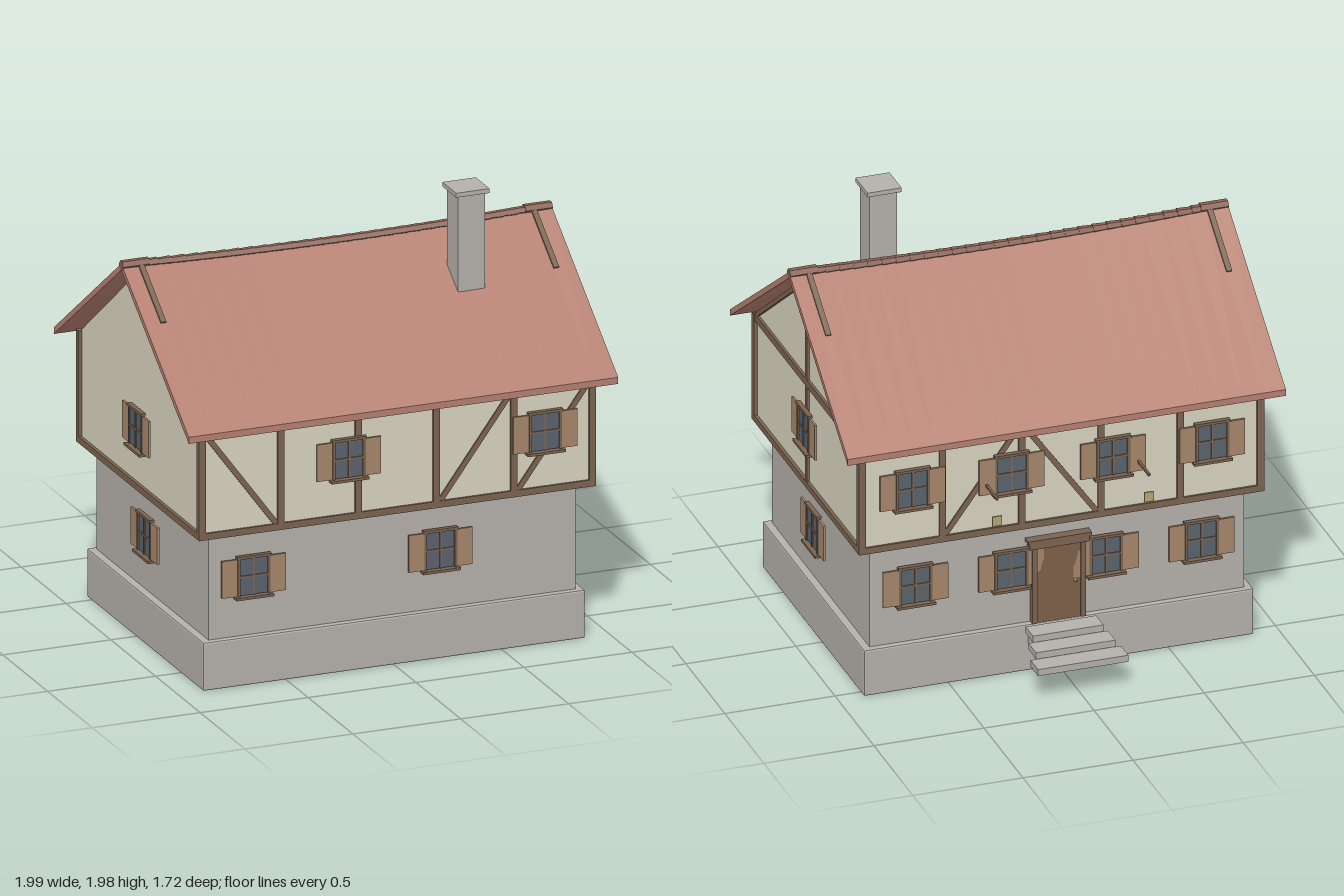
import * as THREE from 'three';
import { RoundedBoxGeometry } from 'three/addons/geometries/RoundedBoxGeometry.js';

const mat = (color) => new THREE.MeshStandardMaterial({ color, flatShading: true });
const M = {
  stone: mat(0xb4b0aa), plaster: mat(0xd8d3c0), beam: mat(0x7a6350), shutter: mat(0xa5866a),
  glass: mat(0x59626c), tile: mat(0xb47f70), ridge: mat(0x8a6052), brass: mat(0xb5a573), door: mat(0x7d6049),
};
const CZ = 0.105; // centre line of the house
const sag = (x) => 0.022 * (1 - x * x);

function add(parent, name, geometry, material, x = 0, y = 0, z = 0) {
  const mesh = new THREE.Mesh(geometry, material);
  mesh.name = name;
  mesh.position.set(x, y, z);
  parent.add(mesh);
  return mesh;
}
const box = (parent, name, material, w, h, d, x, y, z) =>
  add(parent, name, new THREE.BoxGeometry(w, h, d), material, x, y, z);

// Timber lying in a wall plane, from (x0, y0) to (x1, y1)
function timber(parent, x0, y0, x1, y1, width = 0.03, depth = 0.03) {
  const length = Math.hypot(x1 - x0, y1 - y0);
  const m = box(parent, 'timber', M.beam, length, width, depth, (x0 + x1) / 2, (y0 + y1) / 2, 0);
  m.rotation.z = Math.atan2(y1 - y0, x1 - x0);
}

// Window facing +z with shutters, frame, cross bars, sill and lintel
function windowUnit() {
  const g = new THREE.Group();
  g.name = 'window';
  box(g, 'glass', M.glass, 0.15, 0.17, 0.008, 0, 0, 0);
  for (const s of [-1, 1]) {
    box(g, 'frameSide', M.beam, 0.012, 0.175, 0.016, s * 0.07, 0, 0.002);
    box(g, 'shutter', M.shutter, 0.072, 0.168, 0.01, s * 0.112, -0.002, 0.002);
  }
  box(g, 'mullion', M.beam, 0.009, 0.17, 0.014, 0, 0, 0.002);
  box(g, 'crossBar', M.beam, 0.15, 0.009, 0.014, 0, 0, 0.002);
  box(g, 'lintel', M.beam, 0.16, 0.012, 0.022, 0, 0.088, 0.003);
  box(g, 'sill', M.beam, 0.175, 0.012, 0.034, 0, -0.094, 0.008);
  return g;
}

// Roof slope that bends down slightly in the middle of the ridge
function roofSlope(side) {
  const geo = new THREE.BoxGeometry(1.99, 0.03, 1, 20, 1, 1);
  const p = geo.attributes.position;
  for (let i = 0; i < p.count; i++) {
    const t = 0.5 + side * p.getZ(i);
    const ridgeY = 1.73 - sag(p.getX(i));
    p.setY(i, p.getY(i) + THREE.MathUtils.lerp(ridgeY, 1.19, t));
    p.setZ(i, CZ + side * 0.755 * t);
  }
  geo.computeVertexNormals();
  return geo;
}

export function createModel() {
  const house = new THREE.Group();
  house.name = 'house';

  // Stone plinth and ground floor
  add(house, 'plinth', new RoundedBoxGeometry(1.77, 0.22, 1.305, 1, 0.008), M.stone, 0, 0.11, CZ);
  box(house, 'groundFloor', M.stone, 1.7, 0.49, 1.25, 0, 0.46, CZ);

  // Upper floor and gables in one extruded profile
  const profile = new THREE.Shape([[-0.68, 0.705], [0.68, 0.705], [0.68, 1.2], [0, 1.706], [-0.68, 1.2]]
    .map(([z, y]) => new THREE.Vector2(z + CZ, y)));
  const upper = new THREE.ExtrudeGeometry(profile, { depth: 1.81, bevelEnabled: false });
  upper.rotateY(-Math.PI / 2).translate(0.905, 0, 0);
  add(house, 'upperFloor', upper, M.plaster);

  // Timber framing of the two long walls
  const wall = (name, z, turn) => {
    const g = new THREE.Group();
    g.name = name;
    g.position.z = z;
    g.rotation.y = turn;
    timber(g, -0.92, 0.715, 0.92, 0.715);
    timber(g, -0.92, 1.195, 0.92, 1.195);
    for (const x of [-0.54, -0.18, 0.18, 0.54]) timber(g, x, 0.72, x, 1.2);
    house.add(g);
    return g;
  };
  const front = wall('frontFraming', 0.78, 0);
  const back = wall('backFraming', -0.57, Math.PI);
  timber(front, -0.89, 1.18, -0.56, 0.73, 0.025, 0.024);
  timber(front, 0.2, 0.73, 0.53, 1.18, 0.025, 0.024);
  timber(front, 0.56, 0.73, 0.89, 1.18, 0.025, 0.024);
  timber(back, -0.53, 0.73, -0.2, 1.18, 0.025, 0.024);
  timber(back, -0.16, 1.18, 0.16, 0.73, 0.025, 0.024);

  // Corner posts and gable framing
  for (const sx of [-1, 1]) {
    for (const sz of [-1, 1])
      box(house, 'cornerPost', M.beam, 0.032, 0.51, 0.032, sx * 0.904, 0.955, CZ + sz * 0.674);
    box(house, 'gableSillBeam', M.beam, 0.03, 0.03, 1.38, sx * 0.905, 0.715, CZ);
  }
  const gable = new THREE.Group();
  gable.name = 'gableFraming';
  gable.position.set(0.902, 0, CZ);
  gable.rotation.y = Math.PI / 2;
  timber(gable, -0.68, 1.2, 0.68, 1.2, 0.035);
  timber(gable, 0, 0.72, 0, 1.69, 0.025);
  for (const s of [-1, 1]) timber(gable, s * 0.65, 1.215, 0, 1.695, 0.02);
  house.add(gable);

  // Windows: x, y, z, turn
  const places = [];
  for (const x of [-0.23, 0.68]) places.push([x, 0.985, 0.8, 0]);
  for (const x of [-0.65, 0.215]) places.push([x, 0.495, 0.75, 0]);
  for (const x of [-0.68, -0.23, 0.23, 0.68]) places.push([x, 0.985, -0.59, Math.PI]);
  for (const x of [-0.65, -0.215, 0.215, 0.65]) places.push([x, 0.495, -0.54, Math.PI]);
  for (const s of [-1, 1]) {
    places.push([s * 0.923, 0.985, CZ, s * Math.PI / 2]);
    places.push([s * 0.883, 0.495, CZ, s * Math.PI / 2]);
  }
  for (const [x, y, z, turn] of places) {
    const w = windowUnit();
    w.position.set(x, y, z);
    w.rotation.y = turn;
    house.add(w);
  }

  // Roof slopes, ridge tiles and raised ridge ends
  for (const side of [1, -1]) add(house, 'roofSlope', roofSlope(side), M.tile);
  const ridgeTile = new THREE.CylinderGeometry(0.02, 0.023, 0.068, 6).rotateZ(Math.PI / 2);
  for (let i = 0; i < 28; i++) {
    const x = -0.864 + i * 0.064;
    add(house, 'ridgeTile', ridgeTile, M.ridge, x, 1.736 - sag(x), CZ);
  }
  for (const s of [-1, 1]) {
    const cap = new THREE.CylinderGeometry(0.024, 0.024, 0.125, 6).rotateZ(Math.PI / 2);
    add(house, 'ridgeEnd', cap, M.ridge, s * 0.933, 1.735, CZ);
    // Rafter strips lying on the roof near each end
    for (const side of [-1, 1]) {
      const strip = box(house, 'rafterStrip', M.beam, 0.025, 0.02, 0.325, s * 0.91, 1.644, CZ + side * 0.133);
      strip.rotation.x = side * Math.atan2(0.54, 0.755);
    }
  }

  // Chimney
  box(house, 'chimney', M.stone, 0.125, 0.56, 0.125, 0.503, 1.68, 0.345);
  box(house, 'chimneyCap', M.stone, 0.155, 0.02, 0.155, 0.503, 1.965, 0.345);

  // Back door with frame and hood
  box(house, 'door', M.door, 0.2, 0.37, 0.03, 0, 0.405, -0.532);
  for (const s of [-1, 1]) box(house, 'doorPost', M.beam, 0.022, 0.38, 0.04, s * 0.11, 0.41, -0.533);
  box(house, 'doorHead', M.beam, 0.27, 0.03, 0.05, 0, 0.595, -0.535);
  box(house, 'doorHood', M.beam, 0.29, 0.014, 0.06, 0, 0.617, -0.535);
  add(house, 'doorKnob', new THREE.SphereGeometry(0.008, 8, 6), M.brass, -0.075, 0.4, -0.552);

  // Back steps
  box(house, 'stepSupport', M.stone, 0.28, 0.045, 0.1, 0, 0.153, -0.588);
  for (const [i, w] of [0.32, 0.36, 0.41].entries())
    box(house, 'step', M.stone, w, 0.031, 0.095, 0, 0.21 - i * 0.031, -0.621 - i * 0.0955);

  // Brackets with hanging plates on the back wall
  for (const x of [-0.345, 0.345]) {
    box(house, 'bracket', M.beam, 0.011, 0.011, 0.16, x, 0.945, -0.655);
    box(house, 'hangingPlate', M.brass, 0.042, 0.045, 0.008, x, 0.838, -0.727);
  }
  return house;
}
